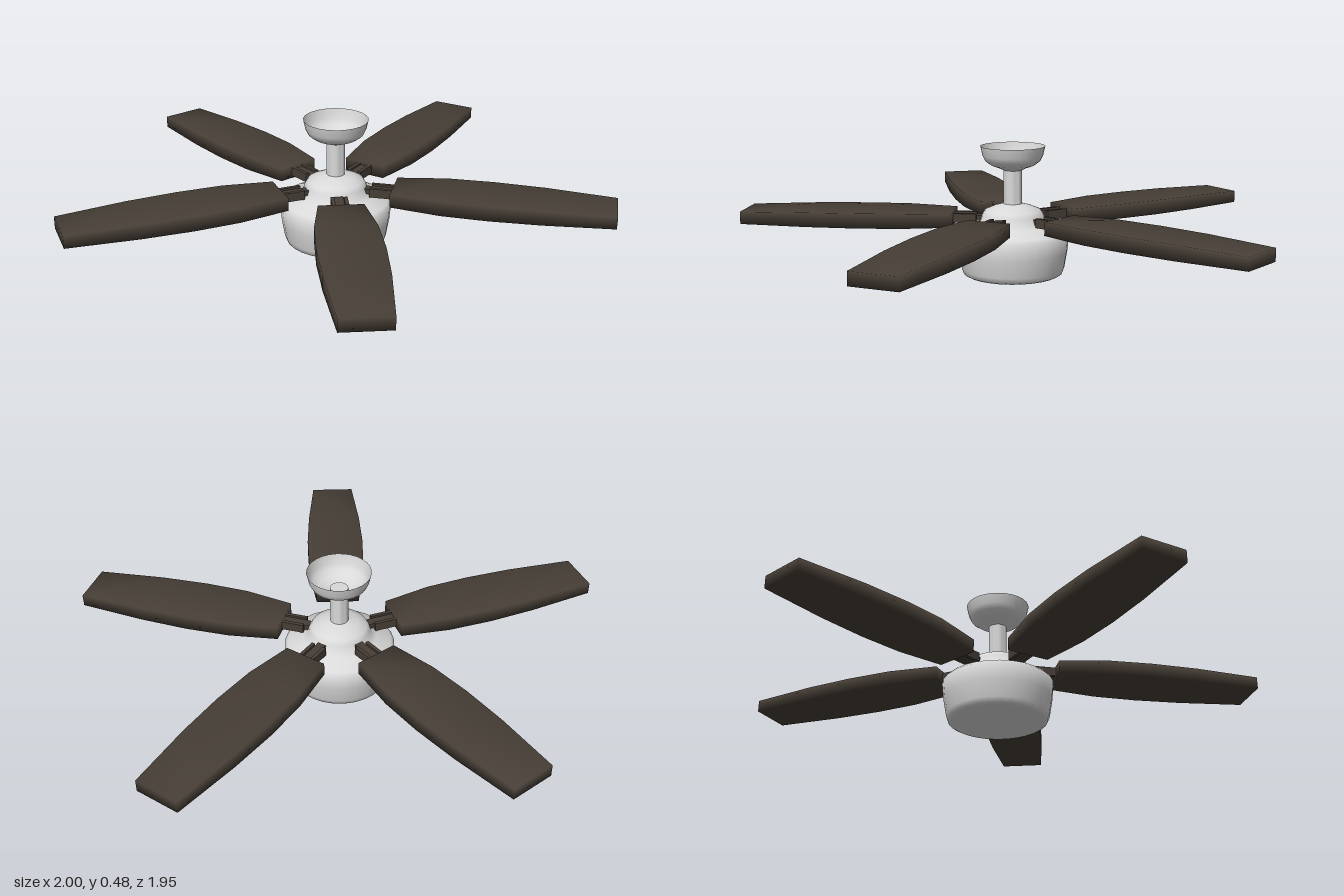
import * as THREE from 'three';
import { mergeVertices, toCreasedNormals } from 'three/addons/utils/BufferGeometryUtils.js';

const white = new THREE.MeshStandardMaterial({ color: 0xd9d9d9, side: THREE.DoubleSide });
white.name = 'satin white';
const wood = new THREE.MeshStandardMaterial({ color: 0x463e36 });
wood.name = 'dark wood';

// Turned part from [radius, height] pairs, listed bottom to top
function turned(name, profile) {
  const points = profile.map(([r, y]) => new THREE.Vector2(r, y));
  const mesh = new THREE.Mesh(toCreasedNormals(new THREE.LatheGeometry(points, 28), 1.3), white);
  mesh.name = name;
  return mesh;
}

// Blade stations: share of the length, half width, underside height, top height
const stations = [
  [0, 0.083, 0.187, 0.237],
  [0.235, 0.11, 0.185, 0.241],
  [0.45, 0.115, 0.185, 0.241],
  [0.68, 0.108, 0.186, 0.24],
  [1, 0.086, 0.189, 0.235],
];
const rootRadius = 0.22;

// A segmented box whose corners are moved to the stations, with softly blended edges
function bladeGeometry(tipRadius) {
  const box = new THREE.BoxGeometry(1, 1, 1, stations.length - 1, 1, 1);
  box.deleteAttribute('normal');
  box.deleteAttribute('uv');
  const geo = mergeVertices(box);
  const pos = geo.attributes.position;
  for (let i = 0; i < pos.count; i++) {
    const [t, half, low, high] = stations[Math.round((pos.getX(i) + 0.5) * (stations.length - 1))];
    const r = THREE.MathUtils.lerp(rootRadius, tipRadius, t);
    pos.setXYZ(i, r, pos.getY(i) > 0 ? high : low, pos.getZ(i) * 2 * half);
  }
  geo.computeVertexNormals();
  return geo;
}

function box(name, x0, x1, y0, y1, width, z = 0) {
  const mesh = new THREE.Mesh(new THREE.BoxGeometry(x1 - x0, y1 - y0, width), wood);
  mesh.position.set((x0 + x1) / 2, (y0 + y1) / 2, z);
  mesh.name = name;
  return mesh;
}

export function createModel() {
  const fan = new THREE.Group();
  fan.name = 'ceilingFan';
  fan.position.set(0.025, 0, 0.048);

  // Motor housing with a flat underside, sloped shoulder and domed top
  fan.add(turned('motorHousing', [
    [0, 0], [0.175, 0], [0.186, 0.006], [0.193, 0.025], [0.204, 0.09], [0.21, 0.153],
    [0.197, 0.166], [0.14, 0.188], [0.122, 0.202], [0.115, 0.225], [0.104, 0.243],
    [0.07, 0.257], [0.034, 0.267],
  ]));

  // Hanging rod
  fan.add(turned('rod', [[0.034, 0.25], [0.034, 0.412], [0, 0.412]]));

  // Open cup that meets the ceiling
  fan.add(turned('ceilingCup', [
    [0.034, 0.392], [0.05, 0.4], [0.08, 0.411], [0.102, 0.427], [0.112, 0.447], [0.12, 0.482],
  ]));

  // Five blades, each carried on a stepped arm
  const tipRadii = [1.034, 1.017, 1.028, 1.012, 1.025];
  tipRadii.forEach((tipRadius, i) => {
    const unit = new THREE.Group();
    unit.name = 'bladeUnit';
    unit.rotation.y = THREE.MathUtils.degToRad(24.8 + 72 * i);
    const blade = new THREE.Mesh(bladeGeometry(tipRadius), wood);
    blade.name = 'blade';
    unit.add(blade);
    unit.add(box('arm', 0.1, 0.24, 0.202, 0.222, 0.034));
    for (const s of [-1, 1]) unit.add(box('armRail', 0.135, 0.25, 0.196, 0.23, 0.014, s * 0.024));
    fan.add(unit);
  });

  const model = new THREE.Group();
  model.add(fan);
  return model;
}
